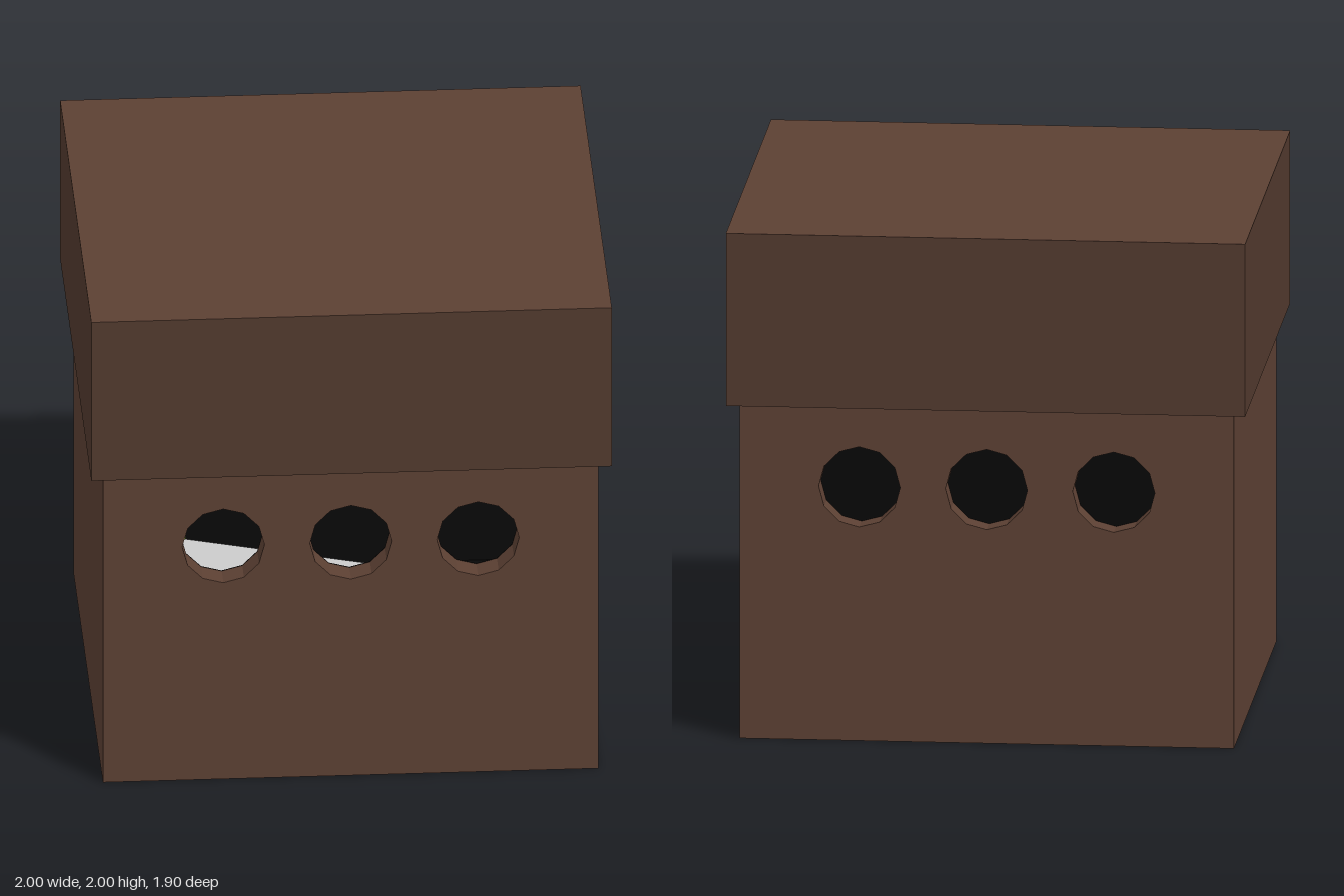
import * as THREE from 'three';

const W = 1.905, D = 1.80, H = 1.32, T = 0.1;   // body size and wall thickness
const LID = { w: 2, d: 1.9, h: 0.68 };
const HOLES = [-0.49, 0, 0.49];

const paint = (color, side = THREE.FrontSide) =>
  new THREE.MeshStandardMaterial({ color, side, flatShading: true });

export function createModel() {
  const model = new THREE.Group();
  const brown = paint(0x5c4033);
  const darkBrown = paint(0x523a2e);
  const black = paint(0x080808, THREE.DoubleSide);

  const add = (name, geometry, material, x, y, z, parent = model) => {
    const mesh = new THREE.Mesh(geometry, material);
    mesh.name = name;
    mesh.position.set(x, y, z);
    parent.add(mesh);
    return mesh;
  };

  // Rectangle standing on y = 0, pierced by three twelve-sided holes
  const piercedShape = (width, bottom) => {
    const w = width / 2;
    const shape = new THREE.Shape([
      new THREE.Vector2(-w, bottom), new THREE.Vector2(w, bottom),
      new THREE.Vector2(w, H), new THREE.Vector2(-w, H),
    ]);
    for (const x of HOLES) {
      const points = [];
      for (let i = 0; i < 12; i++) {
        const a = -i * Math.PI / 6;
        points.push(new THREE.Vector2(x + 0.158 * Math.cos(a), 1 + 0.158 * Math.sin(a)));
      }
      shape.holes.push(new THREE.Path(points));
    }
    return shape;
  };

  // Body: pierced front and back, plain sides and floor
  const body = new THREE.Group();
  body.name = 'body';
  model.add(body);
  const wall = new THREE.ExtrudeGeometry(piercedShape(W, 0), { depth: T, bevelEnabled: false });
  add('frontWall', wall, brown, 0, 0, D / 2 - T, body);
  add('backWall', wall, brown, 0, 0, -D / 2, body);
  for (const s of [1, -1]) {
    add(s > 0 ? 'leftWall' : 'rightWall', new THREE.BoxGeometry(T, H, D - 2 * T), brown,
      s * (W - T) / 2, H / 2, 0, body);
  }
  add('floor', new THREE.BoxGeometry(W - 2 * T, T / 2, D - 2 * T), brown, 0, T / 4, 0, body);

  // Black lining of the inside
  const lining = new THREE.Group();
  lining.name = 'lining';
  model.add(lining);
  const iw = W - 2 * T - 0.01, id = D - 2 * T - 0.01;
  const pierced = new THREE.ShapeGeometry(piercedShape(iw, T / 2));
  for (const s of [1, -1]) {
    add('piercedLining', pierced, black, 0, 0, s * id / 2, lining);
    add('sideLining', new THREE.PlaneGeometry(id, H - T / 2), black, s * iw / 2, H / 2 + T / 4, 0, lining)
      .rotation.y = Math.PI / 2;
  }
  for (const y of [T / 2 + 0.005, H - 0.005]) {
    add(y < 1 ? 'floorLining' : 'ceilingLining', new THREE.PlaneGeometry(iw, id), black, 0, y, 0, lining)
      .rotation.x = -Math.PI / 2;
  }

  // Lid: overhanging block with darker sides and a lighter top
  add('lid', new THREE.BoxGeometry(LID.w, LID.h, LID.d),
    [darkBrown, darkBrown, brown, darkBrown, darkBrown, darkBrown], 0, H + LID.h / 2, 0);

  // Turned pale block lying inside, with small coloured pieces behind it
  add('innerBlock', new THREE.BoxGeometry(1.15, 0.34, 0.5), paint(0xcccccc), -0.22, 0.23, 0.03)
    .rotation.y = -0.35;
  add('tealPiece', new THREE.BoxGeometry(0.12, 0.34, 0.3), paint(0x1f6f80), -0.76, 0.23, -0.42);
  add('greenPiece', new THREE.BoxGeometry(0.1, 0.3, 0.1), paint(0x9ab83a), -0.6, 0.21, -0.5);

  return model;
}
